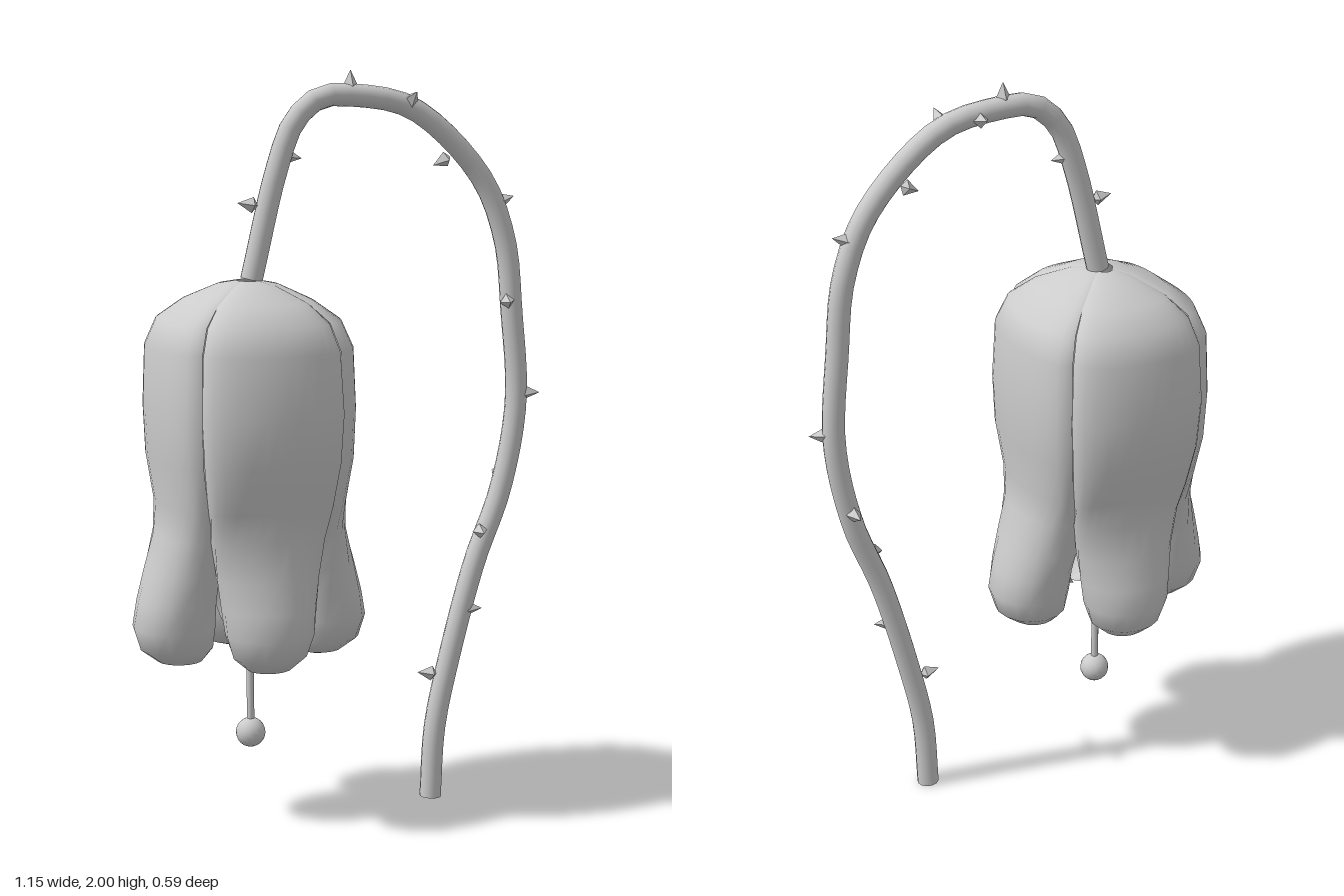
import * as THREE from 'three';

const mat = new THREE.MeshStandardMaterial({ color: 0xcccccc, side: THREE.DoubleSide });
const FLOWER_X = -0.26;

function add(parent, name, geometry) {
  const mesh = new THREE.Mesh(geometry, mat);
  mesh.name = name;
  parent.add(mesh);
  return mesh;
}

// Petal sections, top to tip: height, outer radius, half width, centre radius, curl angle (degrees)
const SIDE_PETAL = [
  [1.46, 0.03, 0.02, 0.02, 90], [1.45, 0.08, 0.06, 0.055, 90], [1.41, 0.165, 0.13, 0.12, 90],
  [1.36, 0.235, 0.18, 0.165, 90], [1.29, 0.265, 0.205, 0.185, 90], [1.13, 0.27, 0.215, 0.19, 90],
  [1.0, 0.265, 0.21, 0.185, 90], [0.88, 0.247, 0.19, 0.17, 92], [0.8, 0.255, 0.165, 0.165, 105],
  [0.7, 0.285, 0.143, 0.18, 125], [0.62, 0.307, 0.128, 0.2, 140], [0.55, 0.32, 0.12, 0.21, 150],
  [0.49, 0.302, 0.1, 0.205, 160], [0.455, 0.255, 0.06, 0.195, 170], [0.44, 0.19, 0.003, 0.187, 180],
];
const FRONT_PETAL = [
  [1.46, 0.04, 0.02, 0.02, 90], [1.45, 0.1, 0.055, 0.06, 90], [1.41, 0.19, 0.12, 0.13, 90],
  [1.36, 0.25, 0.163, 0.18, 90], [1.29, 0.28, 0.183, 0.205, 90], [1.13, 0.297, 0.19, 0.215, 90],
  [1.0, 0.288, 0.183, 0.21, 90], [0.88, 0.25, 0.168, 0.19, 92], [0.8, 0.236, 0.155, 0.165, 105],
  [0.7, 0.25, 0.138, 0.16, 125], [0.62, 0.27, 0.127, 0.168, 140], [0.55, 0.28, 0.118, 0.175, 150],
  [0.49, 0.26, 0.098, 0.172, 160], [0.455, 0.22, 0.058, 0.168, 170], [0.44, 0.165, 0.003, 0.162, 180],
];

function petalGeometry(rows) {
  const cols = 14, positions = [], index = [];
  rows.forEach(([y, r, w, c, curl], i) => {
    for (let j = 0; j <= cols; j++) {
      const a = THREE.MathUtils.degToRad(curl) * (2 * j / cols - 1);
      positions.push(w * Math.sin(a), y, c + (r - c) * Math.cos(a));
      if (i < rows.length - 1 && j < cols) {
        const tl = i * (cols + 1) + j, bl = tl + cols + 1;
        index.push(tl, bl, tl + 1, tl + 1, bl, bl + 1);
      }
    }
  });
  const g = new THREE.BufferGeometry();
  g.setAttribute('position', new THREE.Float32BufferAttribute(positions, 3));
  g.setIndex(index);
  g.computeVertexNormals();
  return g;
}

// Four-sided spike on a short tapered base, pointing along +y
function thornGeometry() {
  const profile = [[0, -0.015], [0.021, 0], [0, 0.042]].map(([x, y]) => new THREE.Vector2(x, y));
  const g = new THREE.LatheGeometry(profile, 4).toNonIndexed();
  g.computeVertexNormals();
  return g;
}

export function createModel() {
  const model = new THREE.Group();
  model.name = 'bellFlower';

  // Hanging bell of four curled petals
  const flower = new THREE.Group();
  flower.name = 'flower';
  flower.position.x = FLOWER_X;
  model.add(flower);
  const shapes = [petalGeometry(FRONT_PETAL), petalGeometry(SIDE_PETAL)];
  ['frontPetal', 'leftPetal', 'backPetal', 'rightPetal'].forEach((name, k) => {
    add(flower, name, shapes[k % 2]).rotation.y = k * Math.PI / 2;
  });

  // Pistil with round tip
  add(flower, 'pistil', new THREE.CylinderGeometry(0.01, 0.01, 1.17, 10)).position.y = 0.835;
  add(flower, 'pistilTip', new THREE.SphereGeometry(0.04, 16, 12)).position.y = 0.237;

  // Arching stem
  const path = new THREE.CatmullRomCurve3([
    [0.263, 0], [0.275, 0.2], [0.318, 0.4], [0.39, 0.66], [0.465, 0.86], [0.508, 1.1],
    [0.492, 1.35], [0.468, 1.55], [0.395, 1.72], [0.2, 1.9], [0.04, 1.935], [-0.06, 1.93],
    [-0.13, 1.87], [-0.178, 1.75], [-0.25, 1.46],
  ].map(([x, y]) => new THREE.Vector3(x, y, 0)), false, 'centripetal');
  add(model, 'stem', new THREE.TubeGeometry(path, 56, 0.03, 12));
  [0, 1].forEach((t) => {
    const cap = add(model, 'stemEnd', new THREE.CircleGeometry(0.03, 12));
    cap.position.copy(path.getPoint(t));
    cap.lookAt(cap.position.clone().addScaledVector(path.getTangent(t), t ? 1 : -1));
  });

  // Thorns: base x, y, z and direction
  const thorn = thornGeometry();
  [
    [-0.245, 1.655, 0, -1, 0.15, 0], [-0.153, 1.78, 0, 1, -0.15, 0.1], [0.025, 1.96, 0, 0, 1, 0],
    [0.1, 1.92, -0.026, 0, 0.2, -1], [0.188, 1.92, 0.018, 0.1, 0.5, 0.7], [0.295, 1.765, 0, -0.8, -0.35, 0.1],
    [0.455, 1.65, 0, 1, 0.3, 0], [0.47, 1.38, 0.022, -0.2, 0, 1], [0.53, 1.125, 0.008, 1, 0, 0.3],
    [0.472, 0.9, -0.026, -0.1, 0, -1], [0.395, 0.75, 0.024, -0.1, 0, 1], [0.365, 0.53, 0.01, 1, 0, 0.2],
    [0.265, 0.352, 0, -1, 0.15, 0],
  ].forEach(([x, y, z, dx, dy, dz]) => {
    const mesh = add(model, 'thorn', thorn);
    mesh.position.set(x, y, z);
    mesh.quaternion.setFromUnitVectors(new THREE.Vector3(0, 1, 0), new THREE.Vector3(dx, dy, dz).normalize());
  });

  return model;
}
